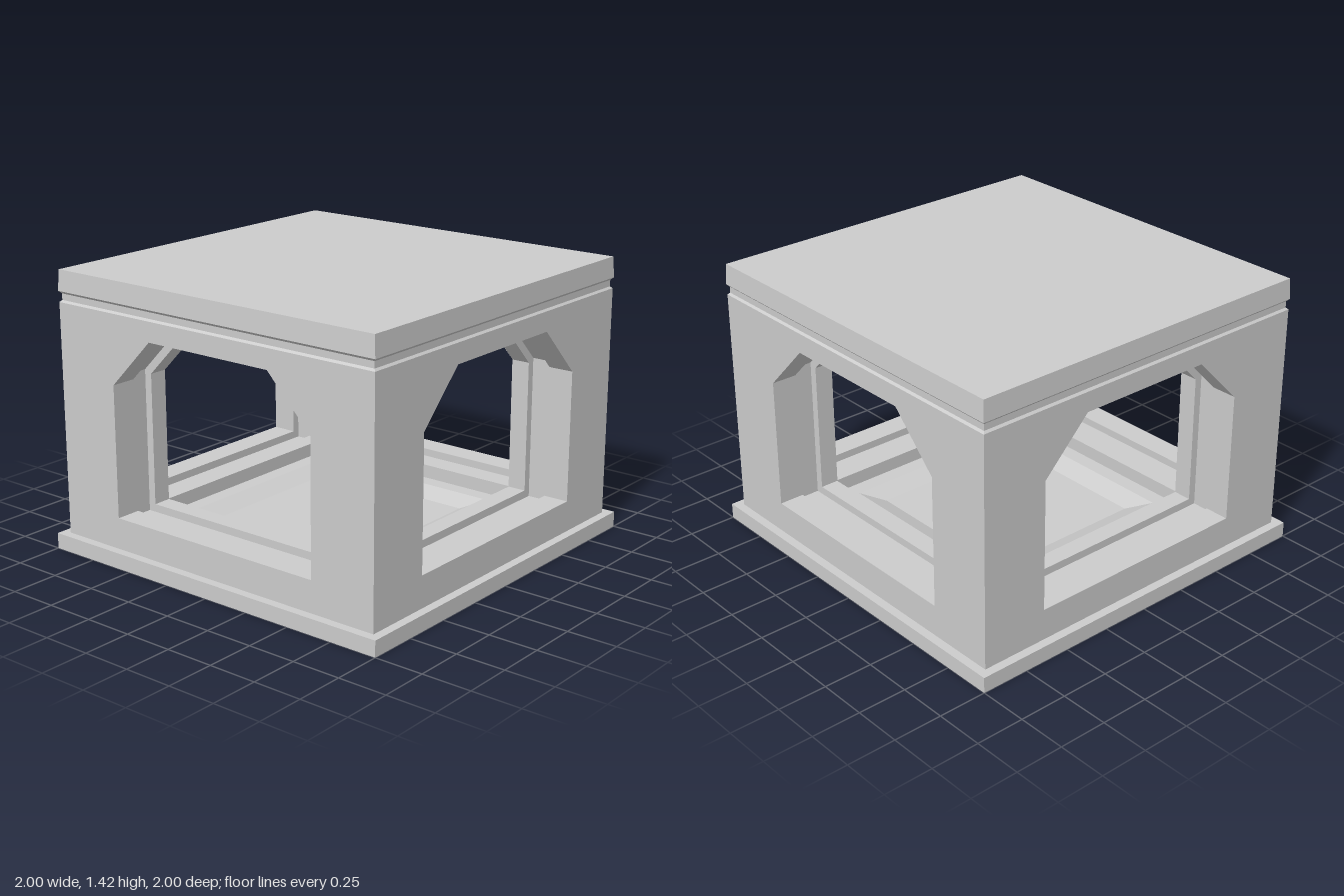
import * as THREE from 'three';

const material = new THREE.MeshStandardMaterial({ color: 0xcccccc, flatShading: true });
const HALF = 0.955; // outer half width of the walls

// Chamfered opening, widened by g on all sides
function opening(g) {
  const w = 0.605 + g, c = 0.41 * g;
  return new THREE.Path([
    [-w, 0.24 - g], [w, 0.24 - g], [w, 0.91 + c], [0.36 + c, 1.16 + g],
    [-0.36 - c, 1.16 + g], [-w, 0.91 + c],
  ].map(([x, y]) => new THREE.Vector2(x, y)));
}

// One layer of a wall between depths d0 and d1; the layers of the four walls interlock at the corners
function wallLayer(d0, d1, g) {
  const l = -(HALF - d0), r = HALF - d1;
  const shape = new THREE.Shape([
    [l, 0.08], [r, 0.08], [r, 1.26], [l, 1.26],
  ].map(([x, y]) => new THREE.Vector2(x, y)));
  shape.holes.push(opening(g));
  const geo = new THREE.ExtrudeGeometry(shape, { depth: d1 - d0, bevelEnabled: false });
  return geo.translate(0, 0, HALF - d1);
}

// Square solid from a profile of [half width, height]
function squareLathe(name, profile) {
  const points = profile.map(([w, y]) => new THREE.Vector2(w * Math.SQRT2, y));
  const mesh = new THREE.Mesh(new THREE.LatheGeometry(points, 4, Math.PI / 4), material);
  mesh.name = name;
  return mesh;
}

export function createModel() {
  const model = new THREE.Group();
  model.name = 'pavilion';

  // Base slab with a raised floor and a shallow sloped pan
  model.add(squareLathe('baseAndFloor', [
    [0, 0], [1, 0], [1, 0.08], [0.62, 0.08], [0.62, 0.17], [0.53, 0.17], [0.43, 0.13], [0, 0.13],
  ]));

  // Four walls: outer skin, recessed groove, inner skin
  const layers = [
    ['outerWall', wallLayer(0, 0.13, 0)],
    ['windowGroove', wallLayer(0.13, 0.25, 0.04)],
    ['innerWall', wallLayer(0.25, 0.345, 0)],
  ];
  ['front', 'left', 'back', 'right'].forEach((side, i) => {
    const wall = new THREE.Group();
    wall.name = side + 'Wall';
    for (const [name, geo] of layers) {
      const mesh = new THREE.Mesh(geo, material);
      mesh.name = name;
      wall.add(mesh);
    }
    wall.rotation.y = i * Math.PI / 2;
    model.add(wall);
  });

  // Roof slab with a grooved neck and a slightly tapered edge
  model.add(squareLathe('roof', [
    [0, 1.26], [HALF, 1.26], [0.945, 1.27], [0.945, 1.302], [0.958, 1.315], [0.952, 1.42], [0, 1.42],
  ]));

  return model;
}
